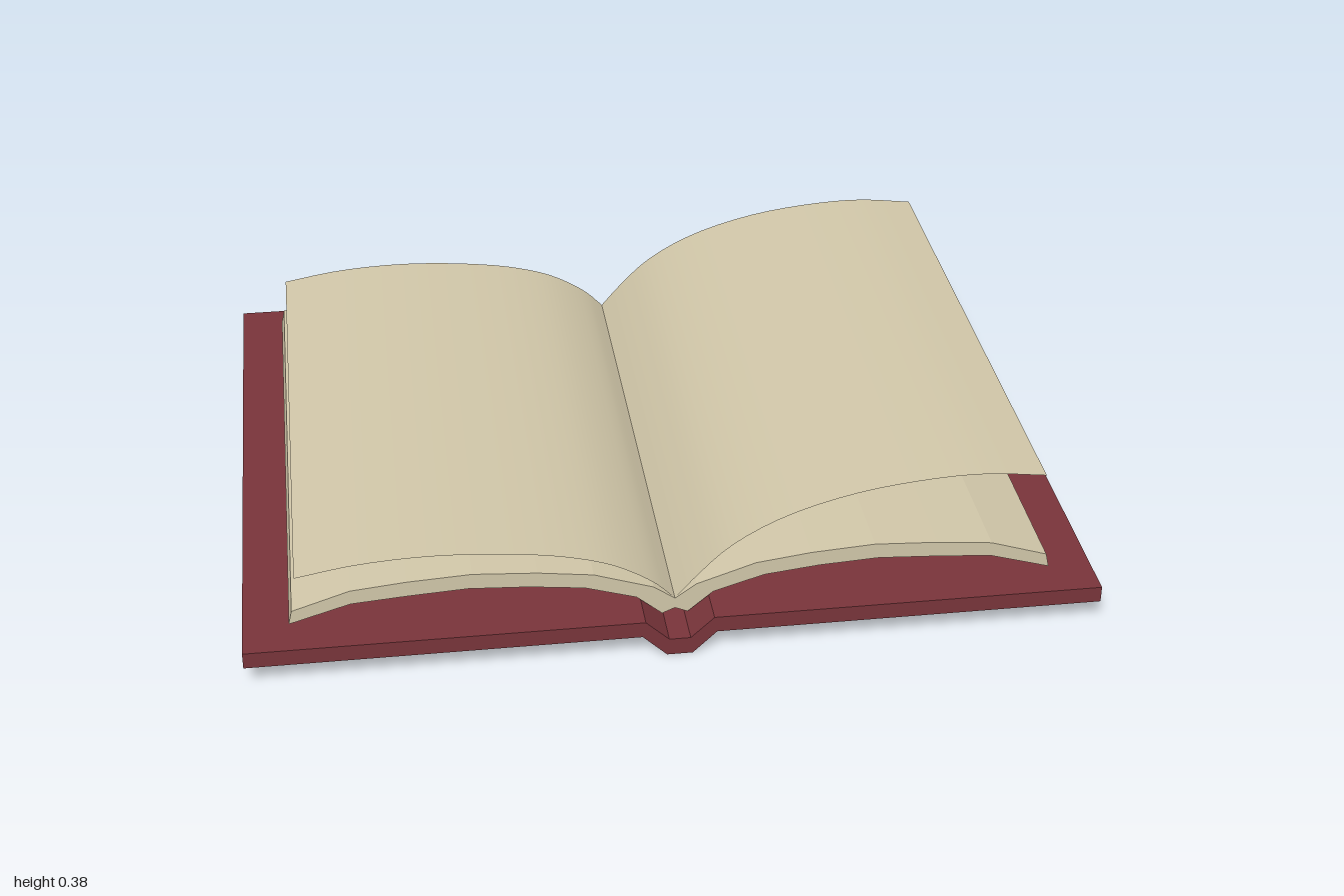
import * as THREE from 'three';

const paper = new THREE.MeshStandardMaterial({ color: 0xd0c6a8, side: THREE.DoubleSide });
paper.name = 'cream paper';
const leather = new THREE.MeshStandardMaterial({ color: 0x78343a });
leather.name = 'dark red cover';

const COVER_DEPTH = 1.6;
const PAGE_DEPTH = 1.43;

// Mirror a centre-to-edge half profile into a full edge-to-edge line
const mirrored = (half) => [
  ...half.filter(([x]) => x > 0).reverse().map(([x, y]) => [-x, y]),
  ...half,
];

// Extrude a symmetric top line and bottom line along z
function slab(name, topHalf, bottomHalf, depth, material) {
  const outline = [...mirrored(bottomHalf), ...mirrored(topHalf).reverse()];
  const shape = new THREE.Shape(outline.map(([x, y]) => new THREE.Vector2(x, y)));
  const geometry = new THREE.ExtrudeGeometry(shape, { depth, bevelEnabled: false });
  geometry.translate(0, 0, -depth / 2);
  const mesh = new THREE.Mesh(geometry, material);
  mesh.name = name;
  return mesh;
}

// Thin curved sheet following a profile from left to right
function sheet(name, profile) {
  const curve = new THREE.CatmullRomCurve3(profile.map(([x, y]) => new THREE.Vector3(x, y, 0)));
  const geometry = new THREE.PlaneGeometry(1, PAGE_DEPTH, 24, 1);
  const pos = geometry.attributes.position;
  for (let i = 0; i < pos.count; i++) {
    const p = curve.getPoint(pos.getX(i) + 0.5);
    pos.setXYZ(i, p.x, p.y, -pos.getY(i));
  }
  geometry.computeVertexNormals();
  const mesh = new THREE.Mesh(geometry, paper);
  mesh.name = name;
  return mesh;
}

export function createModel() {
  const book = new THREE.Group();
  book.name = 'openBook';

  // Boards joined by a sunken spine
  book.add(slab('cover',
    [[0.025, 0.043], [0.08, 0.095], [1, 0.095]],
    [[0.03, 0], [0.087, 0.055], [1, 0.055]],
    COVER_DEPTH, leather));

  // Arched block of pages
  book.add(slab('pageBlock',
    [[0, 0.097], [0.05, 0.133], [0.19, 0.18], [0.32, 0.197], [0.47, 0.207], [0.62, 0.199], [0.75, 0.186], [0.885, 0.142]],
    [[0, 0.07], [0.03, 0.057], [0.09, 0.108], [0.21, 0.145], [0.34, 0.16], [0.48, 0.168], [0.62, 0.16], [0.75, 0.15], [0.893, 0.107]],
    PAGE_DEPTH, paper));

  // Two loose leaves lifting off the block
  book.add(sheet('leftLoosePage',
    [[0, 0.097], [0.05, 0.155], [0.13, 0.232], [0.25, 0.3], [0.41, 0.35], [0.57, 0.374], [0.72, 0.38], [0.867, 0.364]]));
  book.add(sheet('rightLoosePage',
    [[-0.874, 0.232], [-0.73, 0.256], [-0.55, 0.265], [-0.36, 0.252], [-0.24, 0.232], [-0.14, 0.2], [-0.05, 0.146], [0, 0.097]]));

  return book;
}
